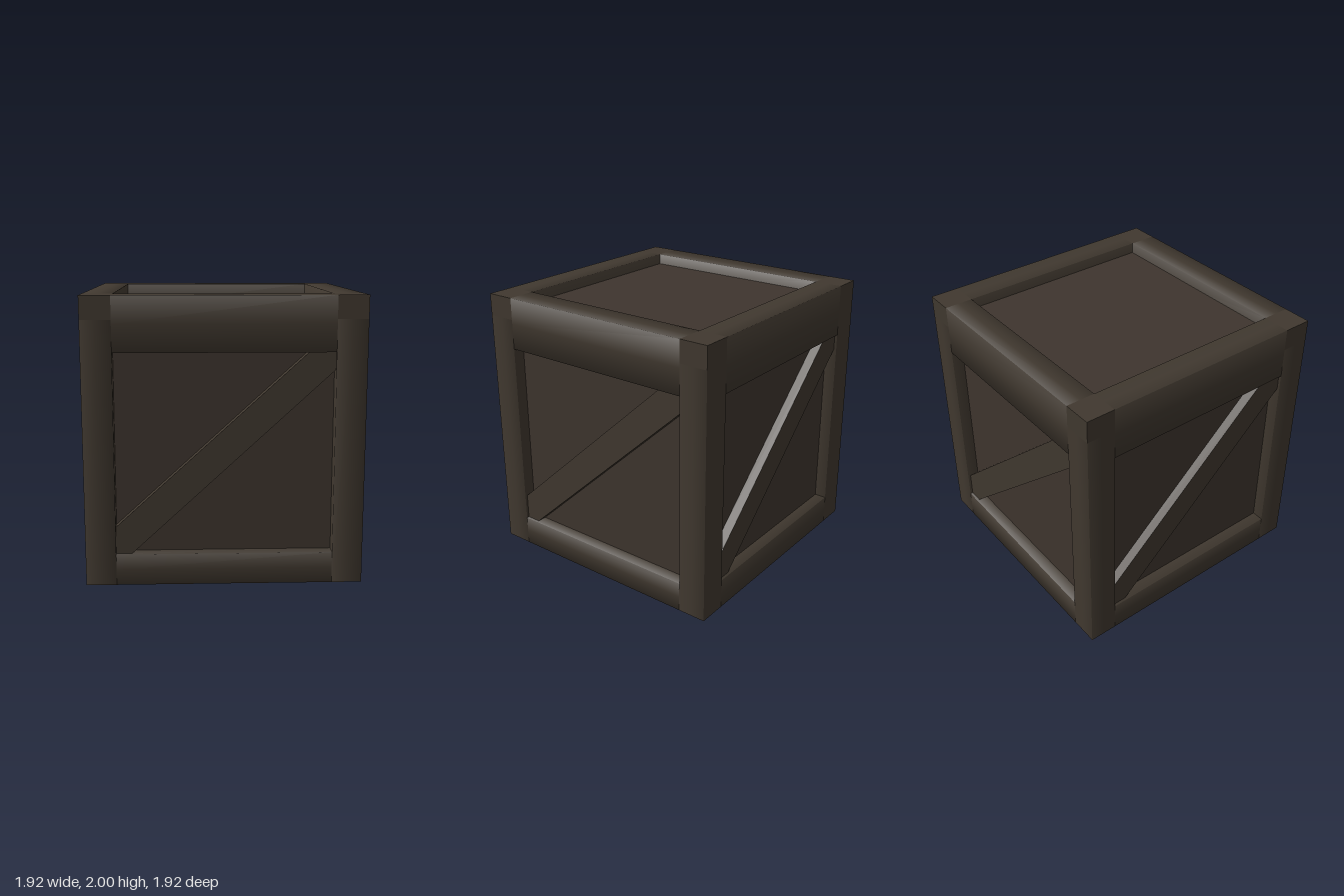
import * as THREE from 'three';

const beamMat = new THREE.MeshStandardMaterial({ color: 0x40382f });
beamMat.name = 'dark timber';
const panelMat = new THREE.MeshStandardMaterial({ color: 0x3e352e });
panelMat.name = 'dark board';

const HALF = 0.96, T = 0.21, INNER = HALF - T, FACE = 0.87;

// Timber along 'axis' whose long edges are softened by leaning the normals outward
function timber(name, size, pos, axis, soft = 0.6) {
  const seg = [2, 2, 2];
  seg[axis] = 1;
  const geo = new THREE.BoxGeometry(...size, ...seg);
  const p = geo.attributes.position, n = geo.attributes.normal;
  for (let i = 0; i < p.count; i++) {
    const v = [n.getX(i), n.getY(i), n.getZ(i)].map(Math.round);
    if (v[axis] !== 0) continue; // ends stay flat
    const at = [p.getX(i), p.getY(i), p.getZ(i)];
    for (let k = 0; k < 3; k++) {
      if (k !== axis && v[k] === 0) v[k] = soft * at[k] / (size[k] / 2);
    }
    const dir = new THREE.Vector3(...v).normalize();
    n.setXYZ(i, dir.x, dir.y, dir.z);
  }
  const mesh = new THREE.Mesh(geo, beamMat);
  mesh.name = name;
  mesh.position.set(...pos);
  return mesh;
}

// One wall: corner post, top and bottom rails, diagonal brace
function wall() {
  const side = new THREE.Group();
  const mid = (HALF + INNER) / 2;
  side.add(timber('cornerPost', [T, 1.84, T], [mid, 0.92, mid], 1));
  side.add(timber('cornerCap', [T, 0.16, T], [mid, 1.92, mid], 0, 0));
  side.add(timber('topRail', [INNER * 2, 0.38, T], [0, 1.81, mid], 0));
  side.add(timber('bottomRail', [INNER * 2, 0.22, T], [0, 0.11, mid], 0));

  // Brace trimmed to the frame opening, rising to the right
  const shape = new THREE.Shape([
    [-0.75, 0.22], [-0.64, 0.22], [0.75, 1.5], [0.75, 1.62], [0.57, 1.62], [-0.75, 0.41],
  ].map(([x, y]) => new THREE.Vector2(x, y)));
  const brace = new THREE.Mesh(
    new THREE.ExtrudeGeometry(shape, { depth: 0.075, bevelEnabled: false }), beamMat);
  brace.name = 'diagonalBrace';
  brace.position.z = FACE - 0.005;
  side.add(brace);
  return side;
}

export function createModel() {
  const crate = new THREE.Group();
  crate.name = 'crate';

  // Recessed boards on all six sides
  const core = new THREE.Mesh(new THREE.BoxGeometry(FACE * 2, 1.84, FACE * 2), panelMat);
  core.name = 'boards';
  core.position.y = 1;
  crate.add(core);

  ['front', 'right', 'back', 'left'].forEach((label, i) => {
    const side = wall();
    side.name = label + 'Wall';
    side.rotation.y = i * Math.PI / 2;
    crate.add(side);
  });
  return crate;
}
